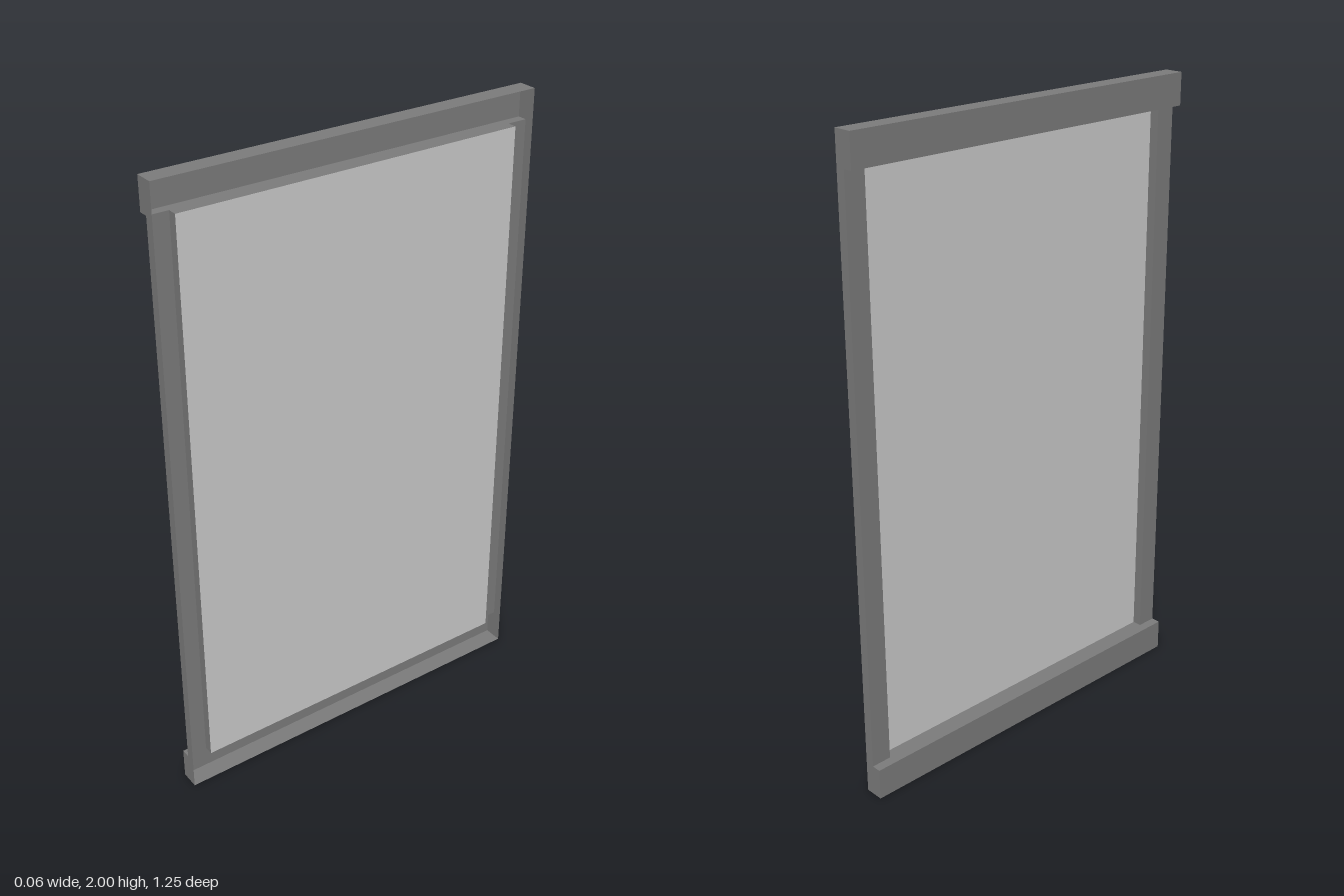
import * as THREE from 'three';

const HALF_DEPTH = 0.03, HALF_WIDTH = 0.625, HEIGHT = 2;
const RAIL = 0.1;        // rail height
const INNER = 0.56;      // half width of the opening

const frameMat = new THREE.MeshStandardMaterial({ color: 0x7c7c7c, side: THREE.DoubleSide });
const panelMat = new THREE.MeshStandardMaterial({ color: 0xcccccc, side: THREE.DoubleSide });

// Thin axis-aligned sheet between two corners; one of the three extents is zero
function sheet(name, [x0, x1], [y0, y1], [z0, z1], mat = frameMat) {
  const dx = Math.abs(x1 - x0), dy = Math.abs(y1 - y0), dz = Math.abs(z1 - z0);
  let geo;
  if (dx === 0) geo = new THREE.PlaneGeometry(dz, dy).rotateY(Math.PI / 2);
  else if (dy === 0) geo = new THREE.PlaneGeometry(dx, dz).rotateX(-Math.PI / 2);
  else geo = new THREE.PlaneGeometry(dx, dy);
  geo.translate((x0 + x1) / 2, (y0 + y1) / 2, (z0 + z1) / 2);
  const mesh = new THREE.Mesh(geo, mat);
  mesh.name = name;
  return mesh;
}

// Horizontal channel, open towards +x
function rail(name, outerY, innerY) {
  const g = new THREE.Group();
  g.name = name;
  const full = [-HALF_DEPTH, HALF_DEPTH], y = [outerY, innerY];
  g.add(
    sheet('railBack', [-HALF_DEPTH, -HALF_DEPTH], y, [-HALF_WIDTH, HALF_WIDTH]),
    sheet('railOuterWall', full, [outerY, outerY], [-HALF_WIDTH, HALF_WIDTH]),
    sheet('railInnerWall', full, [innerY, innerY], [-INNER, INNER])
  );
  for (const s of [-1, 1]) {
    g.add(
      sheet('railEnd', full, y, [s * HALF_WIDTH, s * HALF_WIDTH]),
      sheet('railStep', [-HALF_DEPTH, 0], [innerY, innerY], [s * INNER, s * HALF_WIDTH])
    );
  }
  return g;
}

// Shallower vertical channel, open towards +x
function stile(name, s) {
  const g = new THREE.Group();
  g.name = name;
  const x = [0, HALF_DEPTH], y = [RAIL, HEIGHT - RAIL];
  g.add(
    sheet('stileBack', [0, 0], y, [s * INNER, s * HALF_WIDTH]),
    sheet('stileOuterWall', x, y, [s * HALF_WIDTH, s * HALF_WIDTH]),
    sheet('stileInnerWall', x, y, [s * INNER, s * INNER])
  );
  return g;
}

export function createModel() {
  const model = new THREE.Group();
  model.name = 'framedPanel';
  model.add(
    rail('bottomRail', 0, RAIL),
    rail('topRail', HEIGHT, HEIGHT - RAIL),
    stile('frontStile', 1),
    stile('backStile', -1),
    // Pane flush with the open side of the frame
    sheet('pane', [HALF_DEPTH, HALF_DEPTH], [RAIL, HEIGHT - RAIL], [-INNER, INNER], panelMat)
  );
  return model;
}
